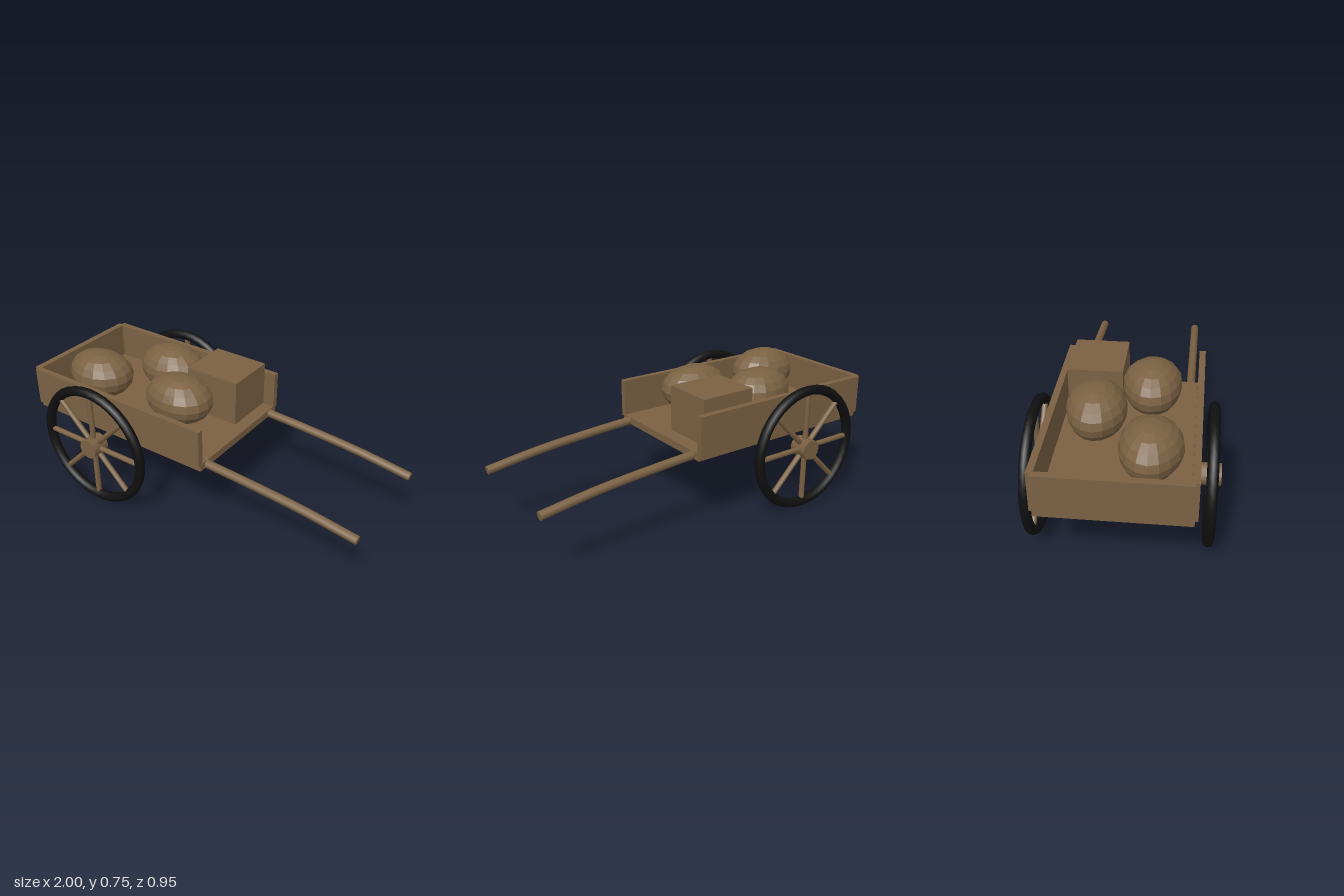
import * as THREE from 'three';

export function createModel() {
  const cart = new THREE.Group();
  cart.name = 'handCart';
  const wood = new THREE.MeshStandardMaterial({ color: 0x7b6143 });
  wood.name = 'brown wood';
  const tyreBlack = new THREE.MeshStandardMaterial({ color: 0x101010 });
  tyreBlack.name = 'tyre black';

  const add = (parent, name, geometry, material = wood) => {
    const mesh = new THREE.Mesh(geometry, material);
    mesh.name = name;
    parent.add(mesh);
    return mesh;
  };
  // Box given by its lower and upper limits on each axis
  const box = (name, x0, x1, y0, y1, z0, z1) =>
    add(cart, name, new THREE.BoxGeometry(x1 - x0, y1 - y0, z1 - z0))
      .position.set((x0 + x1) / 2, (y0 + y1) / 2, (z0 + z1) / 2);

  // Open-fronted bed
  box('floor', -0.98, 0.145, 0.42, 0.46, -0.355, 0.355);
  box('leftSide', -0.98, 0.145, 0.45, 0.66, -0.37, -0.337);
  box('rightSide', -0.98, 0.145, 0.45, 0.66, 0.337, 0.37);
  box('tailBoard', -1, -0.965, 0.45, 0.66, -0.35, 0.35);

  // Crate
  box('crate', -0.225, 0.09, 0.477, 0.725, -0.318, -0.037);

  // Lumpy sacks, fuller towards one end
  const sack = (x, z, phase) => {
    const g = new THREE.SphereGeometry(1, 16, 10);
    const p = g.attributes.position;
    for (let i = 0; i < p.count; i++) {
      const a = p.getX(i), b = p.getY(i), c = p.getZ(i);
      const lump = 1 + 0.03 * Math.sin(3 * a + 2 * c + phase);
      p.setXYZ(i, a * 0.195, b * 0.13, c * 0.152 * lump * (1 + 0.1 * a));
    }
    const flat = g.toNonIndexed();
    flat.computeVertexNormals();
    add(cart, 'sack', flat).position.set(x, 0.625, z);
  };
  sack(-0.705, 0.14, 0);
  sack(-0.42, -0.145, 1.5);
  sack(-0.175, 0.11, 3);

  for (const side of [-1, 1]) {
    // Spoked wheel
    const wheel = new THREE.Group();
    wheel.name = side > 0 ? 'rightWheel' : 'leftWheel';
    wheel.position.set(-0.525, 0.355, side * 0.424);
    add(wheel, 'tyre', new THREE.TorusGeometry(0.325, 0.027, 8, 40), tyreBlack);
    add(wheel, 'hub', new THREE.CylinderGeometry(0.056, 0.056, 0.1, 12)).rotation.x = Math.PI / 2;
    for (let i = 0; i < 8; i++) {
      const spoke = new THREE.CylinderGeometry(0.015, 0.015, 0.31, 8);
      spoke.translate(0, 0.155, 0);
      add(wheel, 'spoke', spoke).rotation.z = i * Math.PI / 4;
    }
    cart.add(wheel);

    // Gently bowed pulling shaft with a closed tip
    const path = new THREE.CatmullRomCurve3([
      [0.08, 0.44], [0.4, 0.422], [0.7, 0.398], [0.995, 0.358],
    ].map(([x, y]) => new THREE.Vector3(x, y, side * 0.298)));
    add(cart, 'shaft', new THREE.TubeGeometry(path, 10, 0.023, 10));
    for (const t of [0, 1]) {
      const cap = add(cart, 'shaftEnd', new THREE.CircleGeometry(0.023, 10));
      const dir = path.getTangent(t).multiplyScalar(t ? 1 : -1);
      cap.position.copy(path.getPoint(t));
      cap.quaternion.setFromUnitVectors(new THREE.Vector3(0, 0, 1), dir);
    }
  }
  return cart;
}
